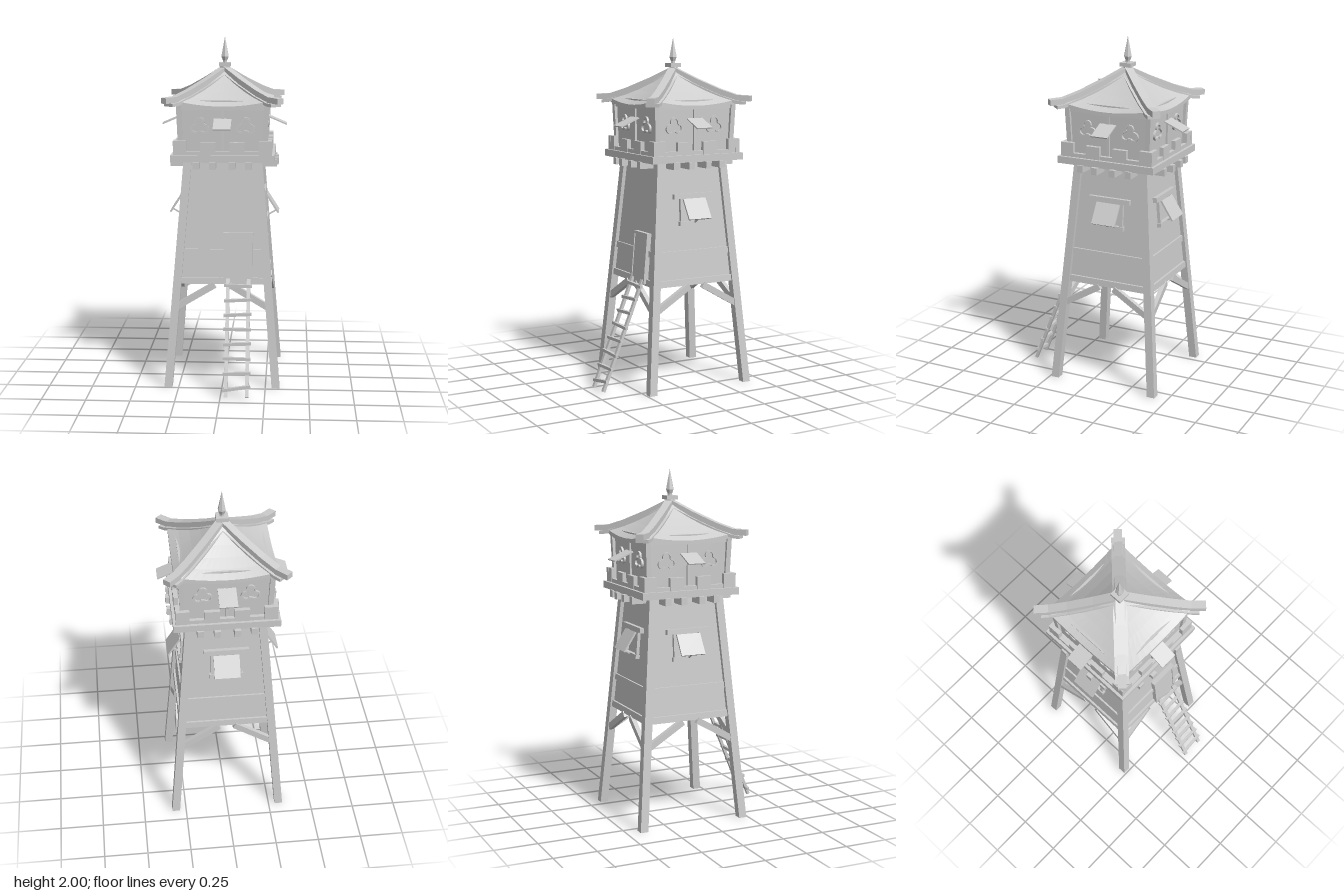
import * as THREE from 'three';

const gray = new THREE.MeshStandardMaterial({ color: 0xcccccc });
gray.name = 'plain gray';

const LEAN = 0.083;
const outer = (y) => 0.333 - LEAN * y; // half width of the tapering frame

function add(parent, name, geometry, x = 0, y = 0, z = 0, rx = 0) {
  const mesh = new THREE.Mesh(geometry, gray);
  mesh.name = name;
  mesh.position.set(x, y, z);
  mesh.rotation.x = rx;
  parent.add(mesh);
  return mesh;
}

const box = (parent, name, w, h, d, x, y, z, rx) =>
  add(parent, name, new THREE.BoxGeometry(w, h, d), x, y, z, rx);

// Block whose bottom and top rectangles [x0, x1, z0, z1] differ
function taper(parent, name, y0, low, y1, high) {
  const g = new THREE.BoxGeometry(1, 1, 1);
  const p = g.attributes.position;
  for (let i = 0; i < p.count; i++) {
    const top = p.getY(i) > 0;
    const r = top ? high : low;
    p.setXYZ(i, r[p.getX(i) < 0 ? 0 : 1], top ? y1 : y0, r[p.getZ(i) < 0 ? 2 : 3]);
  }
  g.computeVertexNormals();
  return add(parent, name, g);
}

// Square band that follows the taper of the frame
function band(parent, name, y0, y1, inset) {
  const a = outer(y0) - inset, b = outer(y1) - inset;
  taper(parent, name, y0, [-a, a, -a, a], y1, [-b, b, -b, b]);
}

// Rectangular bar between two points
function bar(parent, name, a, b, w, h) {
  const p = new THREE.Vector3(...a), q = new THREE.Vector3(...b);
  const mesh = new THREE.Mesh(new THREE.BoxGeometry(w, h, p.distanceTo(q)), gray);
  mesh.name = name;
  mesh.position.copy(p).lerp(q, 0.5);
  mesh.lookAt(q);
  parent.add(mesh);
}

// Outline of three joined lobes
function trefoil(d, r) {
  const s = new THREE.Shape();
  for (let i = 0; i < 3; i++) {
    const a = Math.PI / 2 + i * Math.PI * 2 / 3;
    s.absarc(Math.cos(a) * d, Math.sin(a) * d * 0.85, r, a - 1.95, a + 1.95, false);
  }
  return s;
}

// Closed roof shell with concave slopes and raised corners
function roofSide() {
  const N = 12, rows = [[0, 0], [0.2, 0], [0.4, 0], [0.6, 0], [0.8, 0], [1, 0], [1, 0.022], [0.5, 0.022], [0, 0.022]];
  const pos = [], idx = [];
  for (const [t, down] of rows) {
    for (let i = 0; i <= N; i++) {
      const u = (i / N) * 2 - 1, r = 0.28 * t;
      pos.push(u * r, 1.83 - 0.21 * (1.25 * t - 0.25 * t * t) + 0.035 * t * t * u * u - down, r);
    }
  }
  for (let j = 0; j < rows.length - 1; j++) {
    for (let i = 0; i < N; i++) {
      const a = j * (N + 1) + i, b = a + N + 1;
      idx.push(a, b, a + 1, a + 1, b, b + 1);
    }
  }
  let g = new THREE.BufferGeometry();
  g.setAttribute('position', new THREE.Float32BufferAttribute(pos, 3));
  g.setIndex(idx);
  g = g.toNonIndexed();
  g.computeVertexNormals();
  return g;
}

// Curved strip along a roof hip, with x measured outward from the peak
function hipGeometry(length, width, height, drop) {
  const k = Math.SQRT2;
  const line = [[0, 1.825], [0.1, 1.757], [0.2, 1.698], [0.27, 1.666], [length, 1.662]];
  const pts = line.map(([a, y]) => new THREE.Vector2(a * k, y - drop));
  const under = pts.map((p) => new THREE.Vector2(p.x, p.y - height)).reverse();
  const g = new THREE.ExtrudeGeometry(new THREE.Shape([...pts, ...under]), { depth: width, bevelEnabled: false });
  return g.translate(0, 0, -width / 2);
}

function shutteredWindow(side) {
  const g = new THREE.Group();
  g.name = 'shutteredWindow';
  const z = (y) => outer(y) - 0.012;
  box(g, 'lintel', 0.255, 0.028, 0.03, 0, 1.108, z(1.108), -LEAN);
  box(g, 'sill', 0.19, 0.024, 0.03, 0, 0.953, z(0.953), -LEAN);
  for (const s of [-1, 1]) box(g, 'jamb', 0.018, 0.14, 0.018, s * 0.078, 1.03, z(1.03), -LEAN);
  bar(g, 'shutter', [0, 1.092, 0.245], [0, 0.983, 0.315], 0.145, 0.01);
  bar(g, 'prop', [0, 0.96, 0.255], [0, 0.99, 0.305], 0.008, 0.008);
  side.add(g);
}

function buildSide(isFront) {
  const side = new THREE.Group();
  // knee braces under the body
  for (const s of [-1, 1]) bar(side, 'kneeBrace', [s * 0.275, 0.46, 0.277], [s * 0.045, 0.595, 0.265], 0.026, 0.036);
  // corbels and platform edge
  for (const s of [-1, 1]) {
    box(side, 'corbel', 0.036, 0.04, 0.1, s * 0.055, 1.288, 0.265);
    box(side, 'corbel', 0.036, 0.04, 0.09, s * 0.148, 1.288, 0.26);
    // battlements
    box(side, 'merlon', 0.085, 0.075, 0.024, s * 0.082, 1.38, 0.267);
    box(side, 'cornerMerlon', 0.075, 0.085, 0.024, s * 0.242, 1.383, 0.267);
    // trefoil frames
    const ring = trefoil(0.031, 0.027);
    ring.holes.push(new THREE.Path(trefoil(0.027, 0.019).getPoints(10)));
    add(side, 'trefoilFrame', new THREE.ExtrudeGeometry(ring, { depth: 0.014, bevelEnabled: false, curveSegments: 10 }), s * 0.13, 1.505, 0.24);
  }
  box(side, 'parapet', 0.54, 0.024, 0.022, 0, 1.355, 0.266);
  box(side, 'middlePost', 0.014, 0.28, 0.014, 0, 1.48, 0.245);
  box(side, 'topRail', 0.5, 0.03, 0.018, 0, 1.613, 0.245);
  bar(side, 'awning', [0, 1.546, 0.248], [0, 1.498, 0.36], 0.1, 0.007);
  add(side, 'roofSlope', roofSide());
  if (!isFront) shutteredWindow(side);
  return side;
}

function buildDoor(parent) {
  const g = new THREE.Group();
  g.name = 'door';
  const z = (y) => outer(y) - 0.008;
  box(g, 'doorPanel', 0.135, 0.27, 0.016, 0.09, 0.75, z(0.75), -LEAN);
  for (const x of [0.015, 0.165]) box(g, 'doorPost', 0.016, 0.28, 0.028, x, 0.75, z(0.75), -LEAN);
  box(g, 'doorLintel', 0.17, 0.016, 0.03, 0.09, 0.89, z(0.89), -LEAN);
  parent.add(g);
}

function buildLadder(parent) {
  const g = new THREE.Group();
  g.name = 'ladder';
  const z = (y) => 0.448 - 0.405 * y;
  for (const x of [0.033, 0.151]) bar(g, 'ladderRail', [x, 0.012, z(0.012)], [x, 0.635, z(0.635)], 0.021, 0.016);
  const tilts = [0.012, 0.002, -0.003, 0.003, -0.002, 0.004, 0.004, -0.003];
  tilts.forEach((t, i) => {
    const y = 0.06 + i * 0.077;
    bar(g, 'rung', [0.012, y - t, z(y) + 0.008], [0.17, y + t, z(y) + 0.003], 0.018, 0.017);
  });
  parent.add(g);
}

export function createModel() {
  const model = new THREE.Group();
  model.name = 'watchtower';
  const tower = new THREE.Group();
  tower.name = 'tower';
  tower.position.z = -0.093;
  model.add(tower);

  // tapering body and its rails
  band(tower, 'bodyWalls', 0.605, 1.3, 0.022);
  band(tower, 'bottomRail', 0.6, 0.637, 0.01);
  band(tower, 'middleRail', 0.765, 0.8, 0.012);
  band(tower, 'topBodyRail', 1.268, 1.305, 0.01);

  // platform and upper room
  box(tower, 'platform', 0.588, 0.04, 0.588, 0, 1.325, 0);
  taper(tower, 'upperRoom', 1.34, [-0.238, 0.238, -0.238, 0.238], 1.65, [-0.244, 0.244, -0.244, 0.244]);

  // legs, room posts and roof hips at each corner
  for (const sx of [-1, 1]) {
    for (const sz of [-1, 1]) {
      const square = (c, h) => [sx * c - h, sx * c + h, sz * c - h, sz * c + h];
      taper(tower, 'leg', 0, square(outer(0) - 0.023, 0.023), 1.31, square(outer(1.31) - 0.023, 0.023));
      taper(tower, 'roomPost', 1.34, square(0.237, 0.014), 1.64, square(0.249, 0.014));
      const turn = Math.atan2(-sz, sx);
      add(tower, 'roofHip', hipGeometry(0.325, 0.046, 0.032, -0.008)).rotation.y = turn;
      add(tower, 'hipRafter', hipGeometry(0.3, 0.075, 0.018, 0.024)).rotation.y = turn;
    }
  }

  // four sides
  ['front', 'left', 'back', 'right'].forEach((name, i) => {
    const side = buildSide(i === 0);
    side.name = name + 'Side';
    side.rotation.y = i * Math.PI / 2;
    tower.add(side);
  });
  buildDoor(tower);

  // roof cap and spire
  box(tower, 'roofCap', 0.068, 0.022, 0.068, 0, 1.84, 0);
  const spire = new THREE.LatheGeometry(
    [[0, 1.845], [0.014, 1.85], [0.014, 1.862], [0.024, 1.885], [0, 2]].map(([x, y]) => new THREE.Vector2(x, y)), 6).toNonIndexed();
  spire.computeVertexNormals();
  add(tower, 'spire', spire);

  buildLadder(model);
  return model;
}
